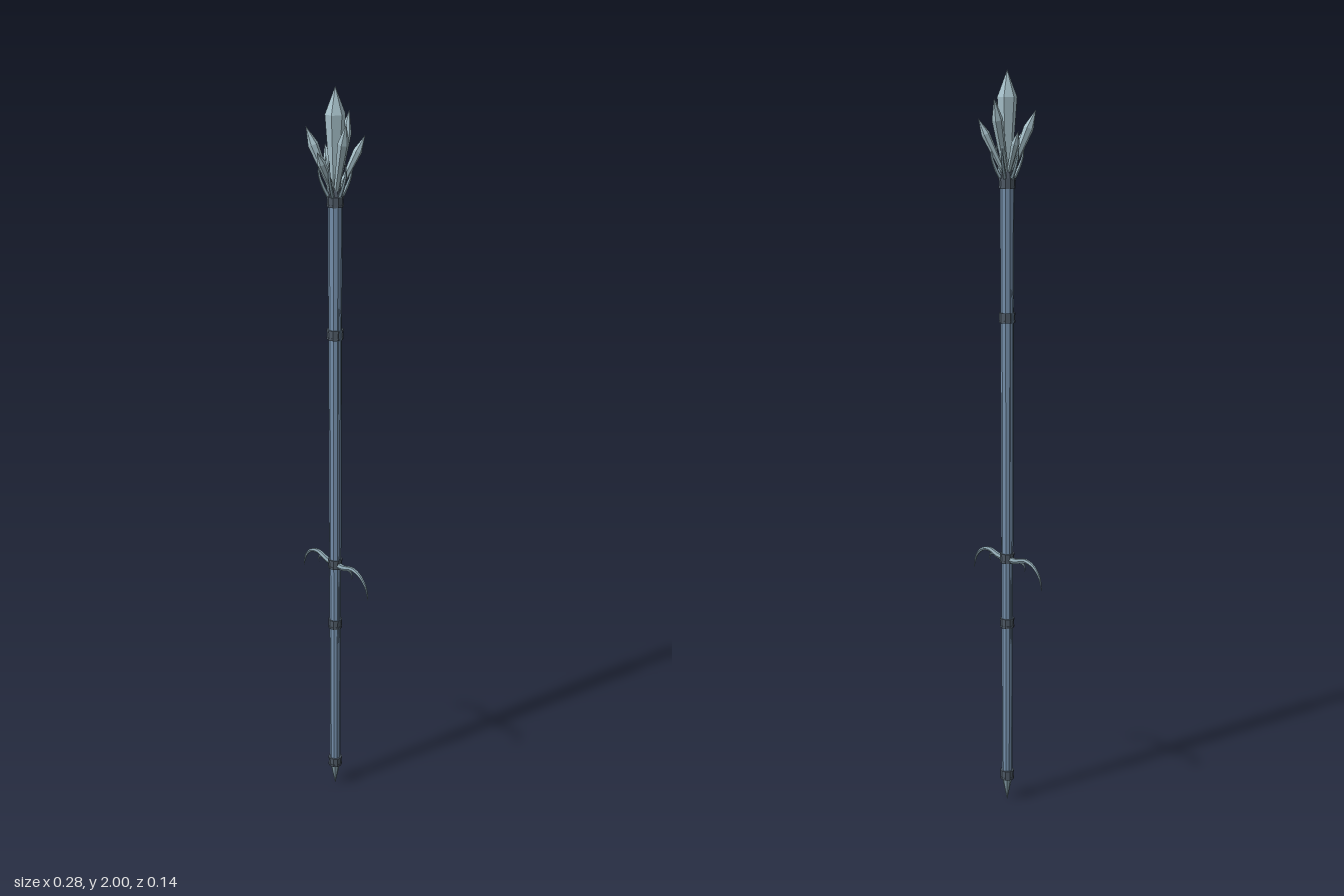
import * as THREE from 'three';

const mat = (name, color, flatShading = true) => {
  const m = new THREE.MeshStandardMaterial({ color, flatShading });
  m.name = name;
  return m;
};

// Tube along a curve whose radius follows a rule of t (0..1)
function taperedTube(points, radiusAt, segments = 16, sides = 6) {
  const curve = new THREE.CatmullRomCurve3(points.map(p => new THREE.Vector3(...p)));
  const geo = new THREE.TubeGeometry(curve, segments, 1, sides);
  const pos = geo.attributes.position, v = new THREE.Vector3();
  for (let i = 0; i <= segments; i++) {
    const t = i / segments, c = curve.getPointAt(t);
    for (let j = 0; j <= sides; j++) {
      const k = i * (sides + 1) + j;
      v.fromBufferAttribute(pos, k).sub(c).multiplyScalar(radiusAt(t)).add(c);
      pos.setXYZ(k, v.x, v.y, v.z);
    }
  }
  geo.computeVertexNormals();
  return geo;
}

// Six-sided crystal standing on the origin
function crystalGeometry(length, radius, shoulder) {
  const profile = [[0, 0], [radius * 0.45, 0], [radius, length * shoulder], [0, length]];
  return new THREE.LatheGeometry(profile.map(p => new THREE.Vector2(...p)), 6, Math.PI / 2);
}

export function createModel() {
  const root = new THREE.Group();
  root.name = 'crystalStaff';
  const shaftMat = mat('blue steel', 0x7590ac);
  const bandMat = mat('dark iron', 0x4d5864);
  const crystalMat = mat('pale crystal', 0xa6c0c9);
  const guardMat = mat('grey steel', 0x87a0ab);
  const finMat = mat('slate', 0x627990);

  const add = (name, geo, material, parent = root) => {
    const mesh = new THREE.Mesh(geo, material);
    mesh.name = name;
    parent.add(mesh);
    return mesh;
  };
  const cylinder = (name, y0, y1, r0, r1, material, sides = 10) => {
    const mesh = add(name, new THREE.CylinderGeometry(r1, r0, y1 - y0, sides), material);
    mesh.position.y = (y0 + y1) / 2;
    return mesh;
  };

  // Shaft and pointed foot
  cylinder('lowerShaft', 0.075, 0.715, 0.0145, 0.016, shaftMat);
  cylinder('upperShaft', 0.715, 1.73, 0.016, 0.0185, shaftMat);
  cylinder('footSpike', 0, 0.075, 0.0005, 0.016, guardMat, 8);

  // Bands with a slim raised ring at each rim
  for (const [y, r] of [[0.077, 0.0185], [0.527, 0.0185], [0.713, 0.019], [1.37, 0.021], [1.717, 0.021]]) {
    cylinder('band', y - 0.013, y + 0.013, r, r, bandMat);
    for (const s of [-1, 1]) {
      cylinder('bandRim', y + s * 0.01 - 0.003, y + s * 0.01 + 0.003, r + 0.001, r + 0.001, bandMat);
    }
  }

  // Slim fins along both sides of the shaft
  for (const side of [-1, 1]) {
    for (const [y0, y1, x] of [[0.72, 1.48, 0.0225], [0.46, 0.70, 0.0175]]) {
      const shape = new THREE.Shape();
      shape.moveTo(0.01, y0);
      shape.lineTo(x - 0.002, y0 + 0.01);
      shape.lineTo(x, y0 + 0.05);
      shape.lineTo(x, y1 - 0.06);
      shape.lineTo(0.01, y1);
      const geo = new THREE.ExtrudeGeometry(shape, { depth: 0.006, bevelEnabled: false });
      geo.translate(0, 0, -0.003);
      if (side < 0) geo.rotateY(Math.PI);
      add('shaftFin', geo, finMat);
    }
  }

  // Curved guard horns, each with a small hooked spur
  for (const side of [0, 1]) {
    const horn = new THREE.Group();
    horn.name = side ? 'rightGuardHorn' : 'leftGuardHorn';
    horn.rotation.y = side * Math.PI;
    add('horn', taperedTube(
      [[0.008, 0.709, 0], [0.035, 0.71, 0], [0.075, 0.72, 0], [0.107, 0.711, 0], [0.13, 0.687, 0], [0.14, 0.652, 0]],
      t => 0.0003 + 0.0085 * Math.pow(1 - t, 0.7), 20), guardMat, horn);
    add('spur', taperedTube(
      [[0.052, 0.713, 0], [0.066, 0.709, 0], [0.073, 0.7, 0], [0.071, 0.688, 0]],
      t => 0.0003 + 0.0045 * (1 - t), 8), guardMat, horn);
    root.add(horn);
  }

  // Curved prongs holding the crystal cluster
  cylinder('socket', 1.73, 1.755, 0.019, 0.014, bandMat);
  for (let i = 0; i < 6; i++) {
    const prong = add('prong', taperedTube(
      [[0.015, 1.725, 0], [0.03, 1.755, 0], [0.041, 1.79, 0], [0.038, 1.825, 0]],
      t => 0.0004 + 0.0048 * (1 - t * t), 10, 5), guardMat);
    prong.rotation.y = i * Math.PI / 3;
  }

  // Large central crystal
  add('centralCrystal', crystalGeometry(0.26, 0.026, 0.74), crystalMat).position.y = 1.74;

  // Leaning crystals, given by tip position and radius
  const up = new THREE.Vector3(0, 1, 0);
  const tips = [
    [0.073, 1.922, 0.025, 0.0145], [0.041, 1.88, -0.062, 0.0115],
    [-0.029, 1.932, -0.069, 0.0145], [-0.063, 1.85, -0.018, 0.011],
    [-0.055, 1.902, 0.049, 0.0135], [0.012, 1.85, 0.067, 0.011],
  ];
  for (const [x, y, z, r] of tips) {
    const base = new THREE.Vector3(x * 0.1, 1.74, z * 0.1);
    const dir = new THREE.Vector3(x, y, z).sub(base);
    const crystal = add('outerCrystal', crystalGeometry(dir.length(), r, 0.72), crystalMat);
    crystal.position.copy(base);
    crystal.quaternion.setFromUnitVectors(up, dir.normalize());
  }
  return root;
}
